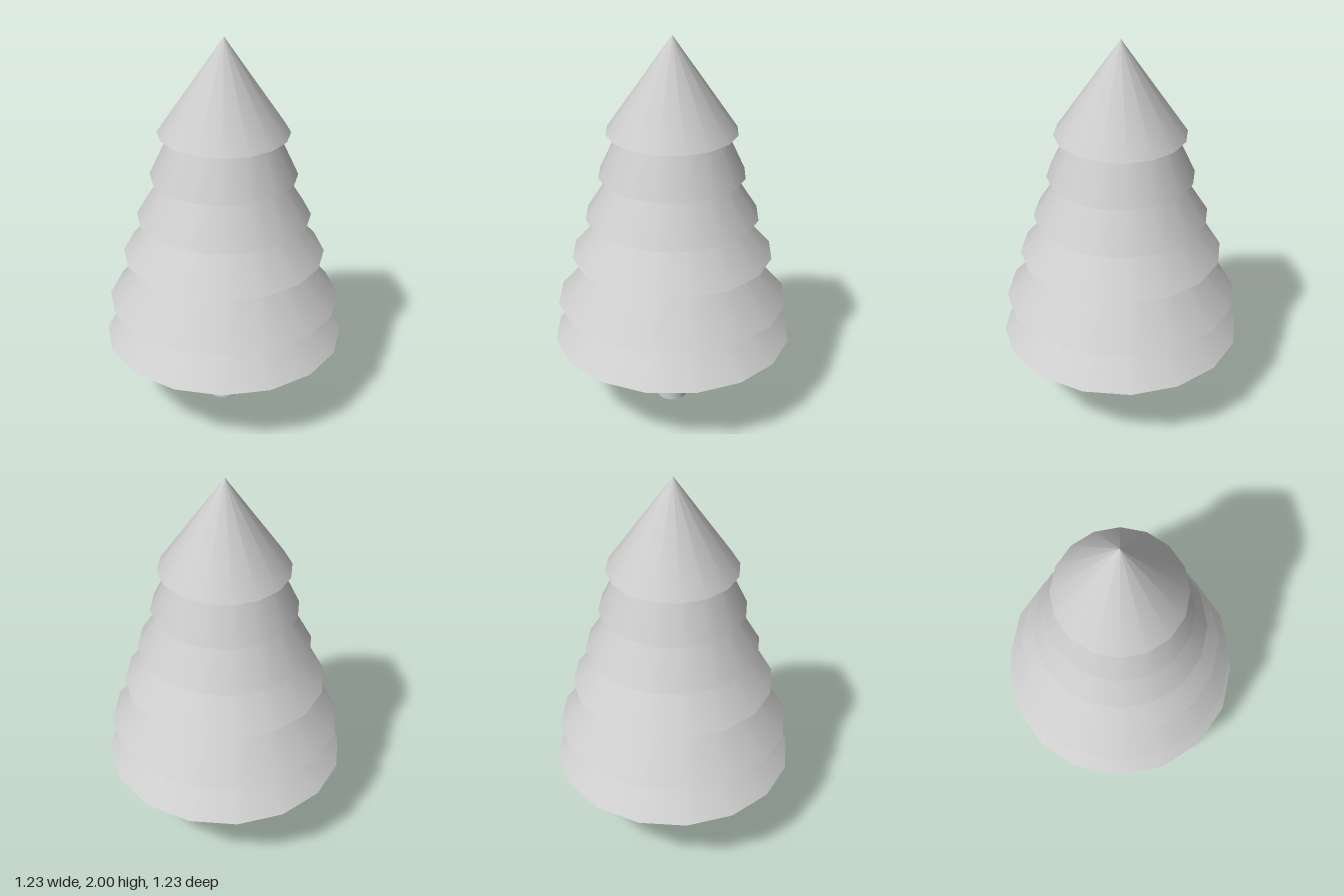
import * as THREE from 'three';

export function createModel() {
  const tree = new THREE.Group();
  tree.name = 'pineTree';
  const grey = new THREE.MeshStandardMaterial({ color: 0xcccccc });
  grey.name = 'light grey';

  // Upright tapered cylinder standing on y
  function taper(name, y, height, bottomRadius, topRadius) {
    const geometry = new THREE.CylinderGeometry(topRadius, bottomRadius, height, 16);
    const mesh = new THREE.Mesh(geometry, grey);
    mesh.name = name;
    mesh.position.y = y + height / 2;
    tree.add(mesh);
  }

  taper('trunk', 0, 0.42, 0.079, 0.071);

  // Branch tiers: base height, base radius, radius where the next tier begins
  const tiers = [
    [0.40, 0.613, 0.37],
    [0.613, 0.59, 0.36],
    [0.87, 0.511, 0.325],
    [1.077, 0.438, 0.3],
    [1.297, 0.368, 0.265],
    [1.52, 0.327, 0],
  ];
  tiers.forEach(([y, radius, topRadius], i) => {
    const last = i === tiers.length - 1;
    const rise = (last ? 2 : tiers[i + 1][0]) - y;
    // Lower tiers run on a little inside the tier above
    const overlap = last ? 0 : 0.03;
    const slope = (radius - topRadius) / rise;
    taper(last ? 'treetop' : `branchTier${i + 1}`, y, rise + overlap, radius, topRadius - slope * overlap);
  });

  return tree;
}
